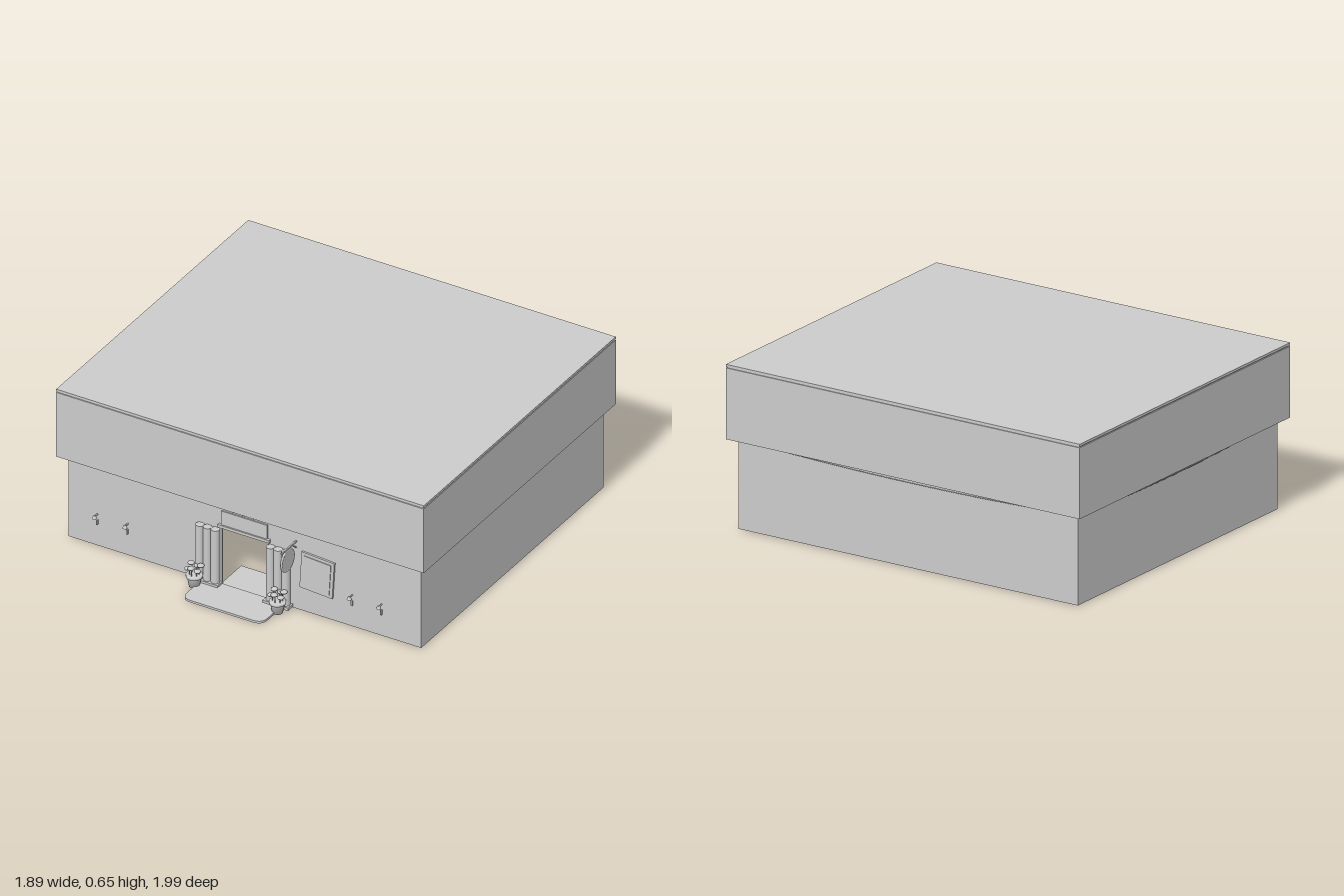
import * as THREE from 'three';

const grey = new THREE.MeshStandardMaterial({ color: 0xcccccc, side: THREE.DoubleSide });
grey.name = 'plain grey';

export function createModel() {
  const model = new THREE.Group();
  const shop = new THREE.Group();
  shop.name = 'building';
  shop.rotation.y = 0.42;
  model.add(shop);

  const add = (name, geometry, x = 0, y = 0, z = 0, parent = shop) => {
    const mesh = new THREE.Mesh(geometry, grey);
    mesh.name = name;
    mesh.position.set(x, y, z);
    parent.add(mesh);
    return mesh;
  };
  const box = (name, w, h, d, x, y, z, parent) =>
    add(name, new THREE.BoxGeometry(w, h, d), x, y, z, parent);
  const rect = (Type, x0, y0, x1, y1) => {
    const p = new Type();
    p.moveTo(x0, y0);
    p.lineTo(x1, y0);
    p.lineTo(x1, y1);
    p.lineTo(x0, y1);
    p.closePath();
    return p;
  };
  const flat = (shape, depth) =>
    new THREE.ExtrudeGeometry(shape, { depth, bevelEnabled: false }).rotateX(-Math.PI / 2);

  // Lower storey: three plain walls and a wall with a doorway on the -x side
  const A = 0.649, B = 0.754, H = 0.355, T = 0.008, base = 0.003;
  const wallH = H - base, wallY = (H + base) / 2;
  box('plainSideWall', T, wallH, B * 2, A - T / 2, wallY, 0);
  for (const s of [-1, 1]) box('endWall', A * 2 - T * 2, wallH, T, 0, wallY, s * (B - T / 2));
  const doorWall = new THREE.Shape();
  [[-B, base], [-0.098, base], [-0.098, 0.255], [0.098, 0.255], [0.098, base], [B, base], [B, H], [-B, H]]
    .forEach(([x, y], i) => (i ? doorWall.lineTo(x, y) : doorWall.moveTo(x, y)));
  const doorGeo = new THREE.ExtrudeGeometry(doorWall, { depth: T, bevelEnabled: false });
  add('doorWall', doorGeo.rotateY(-Math.PI / 2), -A + T);

  // Overhanging upper storey, hollow underneath, with ceiling and roof
  const UA = 0.684, UB = 0.786;
  const ring = rect(THREE.Shape, -UA, -UB, UA, UB);
  ring.holes.push(rect(THREE.Path, -A + T, -B + T, A - T, B - T));
  add('upperWalls', flat(ring, 0.24), 0, H);
  box('ceiling', UA * 2, 0.037, UB * 2, 0, 0.6135, 0);
  box('roofGroove', UA * 2 - 0.008, 0.005, UB * 2 - 0.008, 0, 0.6345, 0);
  box('roof', UA * 2, 0.01, UB * 2, 0, 0.641, 0);

  // Thin sagging cord under the overhang of each wall
  for (const [half, out, turn] of [[A, B, 0], [B, A, Math.PI / 2], [A, B, Math.PI], [B, A, -Math.PI / 2]]) {
    const curve = new THREE.QuadraticBezierCurve3(
      new THREE.Vector3(-half, 0.353, out + 0.004),
      new THREE.Vector3(0, 0.315, out + 0.004),
      new THREE.Vector3(half, 0.353, out + 0.004));
    add('cord', new THREE.TubeGeometry(curve, 20, 0.0015, 5)).rotation.y = turn;
  }

  // Rounded doorstep and the mat running through the doorway
  const step = new THREE.Shape();
  step.moveTo(-A, -0.17);
  step.lineTo(-0.77, -0.17);
  step.quadraticCurveTo(-0.81, -0.17, -0.81, -0.13);
  step.lineTo(-0.81, 0.135);
  step.quadraticCurveTo(-0.81, 0.175, -0.77, 0.175);
  step.lineTo(-A, 0.175);
  step.closePath();
  add('doorstep', flat(step, 0.009));
  box('doorMat', 0.23, 0.004, 0.21, -0.615, 0.002, 0);

  // Door surround: fluted posts on both sides and a lintel
  for (const s of [-1, 1]) {
    for (let i = 0; i < 3; i++)
      add('flutedPost', new THREE.CylinderGeometry(0.017, 0.017, 0.235, 12), -A - 0.014, 0.1275, s * (0.118 + i * 0.033));
    box('postBase', 0.04, 0.012, 0.11, -A - 0.016, 0.012, s * 0.151);
  }
  box('lintel', 0.012, 0.012, 0.22, -A - 0.006, 0.26, 0);
  box('transom', 0.006, 0.06, 0.196, -A - 0.003, 0.295, 0);

  // Potted plants beside the door
  const pot = [[0, 0], [0.02, 0], [0.028, 0.04], [0.032, 0.04], [0.032, 0.05], [0, 0.05]]
    .map(([x, y]) => new THREE.Vector2(x, y));
  for (const z of [-0.184, 0.172]) {
    const plant = new THREE.Group();
    plant.name = 'pottedPlant';
    plant.position.set(-0.703, 0, z);
    shop.add(plant);
    add('pot', new THREE.LatheGeometry(pot, 14), 0, 0, 0, plant);
    for (let i = 0; i < 6; i++) {
      const a = i * Math.PI / 3;
      const leaf = add('leaf', new THREE.SphereGeometry(0.014, 8, 6),
        Math.cos(a) * 0.024, 0.075 + (i % 2) * 0.012, Math.sin(a) * 0.024, plant);
      leaf.scale.set(1, 0.5, 1);
      add('stem', new THREE.CylinderGeometry(0.002, 0.002, 0.04, 5),
        Math.cos(a) * 0.018, 0.062, Math.sin(a) * 0.018, plant);
    }
  }

  // Round hanging sign on a bracket
  const disc = add('roundSign', new THREE.CylinderGeometry(0.043, 0.043, 0.008, 20), -0.712, 0.245, 0.22);
  disc.rotation.x = Math.PI / 2;
  add('signRim', new THREE.TorusGeometry(0.043, 0.005, 6, 20), -0.712, 0.245, 0.22);
  box('signArm', 0.108, 0.006, 0.006, -0.702, 0.294, 0.22);
  const brace = box('signBrace', 0.04, 0.004, 0.004, -0.664, 0.279, 0.22);
  brace.rotation.z = -0.7;

  // Notice board on the wall
  const board = box('noticeBoard', 0.008, 0.155, 0.14, -A - 0.008, 0.182, 0.315);
  board.rotation.x = 0.06;
  box('noticeSheet', 0.003, 0.13, 0.115, -A - 0.0135, 0.182, 0.315).rotation.x = 0.06;

  // Small wall lamps
  for (const z of [-0.63, -0.5, 0.46, 0.585]) {
    add('lampArm', new THREE.CylinderGeometry(0.003, 0.003, 0.025, 6), -A - 0.012, 0.138, z).rotation.z = Math.PI / 2;
    add('lampShade', new THREE.CylinderGeometry(0.004, 0.01, 0.012, 10), -A - 0.022, 0.137, z);
    box('lampBracket', 0.008, 0.02, 0.006, -A - 0.004, 0.105, z);
  }
  return model;
}
